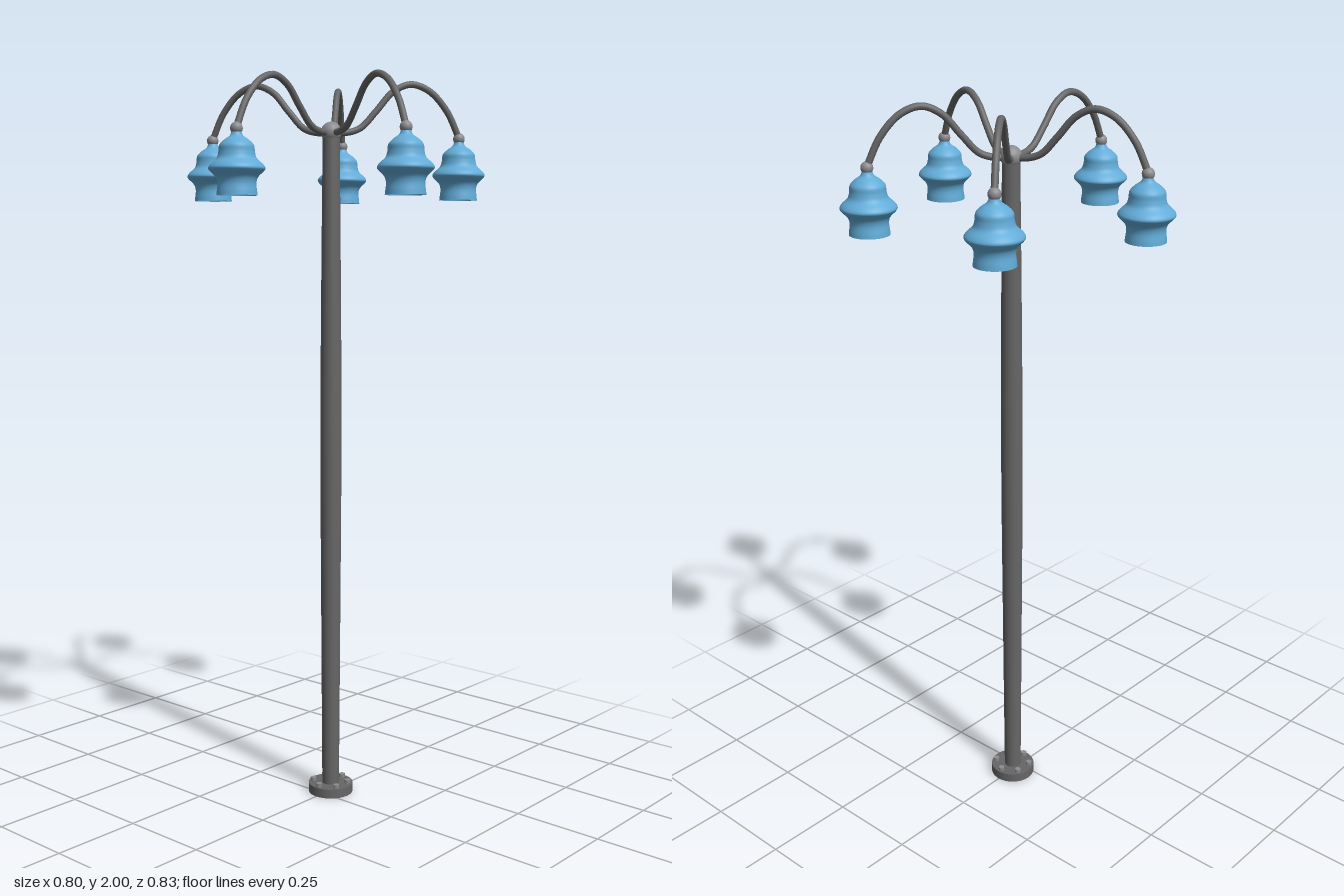
import * as THREE from 'three';

const metal = new THREE.MeshStandardMaterial({ color: 0x666666 });
const lightMetal = new THREE.MeshStandardMaterial({ color: 0x8c8c90 });
const glass = new THREE.MeshStandardMaterial({ color: 0x62acd8, side: THREE.DoubleSide });

function add(parent, name, geometry, material, x = 0, y = 0, z = 0) {
  const mesh = new THREE.Mesh(geometry, material);
  mesh.name = name;
  mesh.position.set(x, y, z);
  parent.add(mesh);
  return mesh;
}

// Lathe through [radius, height] points, smoothed along a spline
function turned(points, steps, sides) {
  const curve = new THREE.SplineCurve(points.map(([r, y]) => new THREE.Vector2(r, y)));
  return new THREE.LatheGeometry(curve.getPoints(steps), sides);
}

export function createModel() {
  const model = new THREE.Group();
  model.name = 'streetLamp';
  const lamp = new THREE.Group();
  lamp.name = 'lampPost';
  lamp.position.x = 0.033;
  model.add(lamp);

  // Base plate with a ring of hexagonal bolts
  add(lamp, 'basePlate', new THREE.CylinderGeometry(0.063, 0.063, 0.026, 40), metal, 0, 0.013, 0);
  const boltGeometry = new THREE.CylinderGeometry(0.009, 0.009, 0.012, 6);
  for (let i = 0; i < 6; i++) {
    const a = (i * Math.PI) / 3;
    add(lamp, 'bolt', boltGeometry, lightMetal, 0.05 * Math.cos(a), 0.03, 0.05 * Math.sin(a));
  }

  // Pole, slightly swollen in the middle
  add(lamp, 'pole', turned([[0.024, 0.02], [0.027, 0.5], [0.0295, 1.0], [0.0275, 1.4], [0.023, 1.86]], 24, 32), metal);
  add(lamp, 'hub', new THREE.SphereGeometry(0.028, 32, 20), lightMetal, 0, 1.86, 0);

  // Shared arm and shade geometry, drawn along +x
  const reach = 0.361;
  const armPath = new THREE.CatmullRomCurve3([
    [0, 1.862], [0.035, 1.859], [0.08, 1.872], [0.125, 1.918], [0.172, 1.97], [0.222, 1.991],
    [0.275, 1.974], [0.325, 1.922], [reach, 1.85],
  ].map(([x, y]) => new THREE.Vector3(x, y, 0)));
  const armGeometry = new THREE.TubeGeometry(armPath, 64, 0.009, 14, false);
  const knobGeometry = new THREE.SphereGeometry(0.016, 24, 16);
  const shadeGeometry = turned([
    [0.052, 1.682], [0.051, 1.692], [0.049, 1.712], [0.054, 1.728], [0.068, 1.742], [0.072, 1.75],
    [0.066, 1.76], [0.051, 1.774], [0.046, 1.79], [0.044, 1.806], [0.032, 1.819], [0.017, 1.83], [0.011, 1.845],
  ], 60, 40);

  // Five arms, each with a hanging shade
  for (let i = 0; i < 5; i++) {
    const branch = new THREE.Group();
    branch.name = 'lampArm';
    branch.rotation.y = Math.PI + (i * Math.PI * 2) / 5;
    add(branch, 'arm', armGeometry, metal);
    add(branch, 'knob', knobGeometry, lightMetal, reach, 1.848, 0);
    add(branch, 'shade', shadeGeometry, glass, reach, 0, 0);
    lamp.add(branch);
  }
  return model;
}
